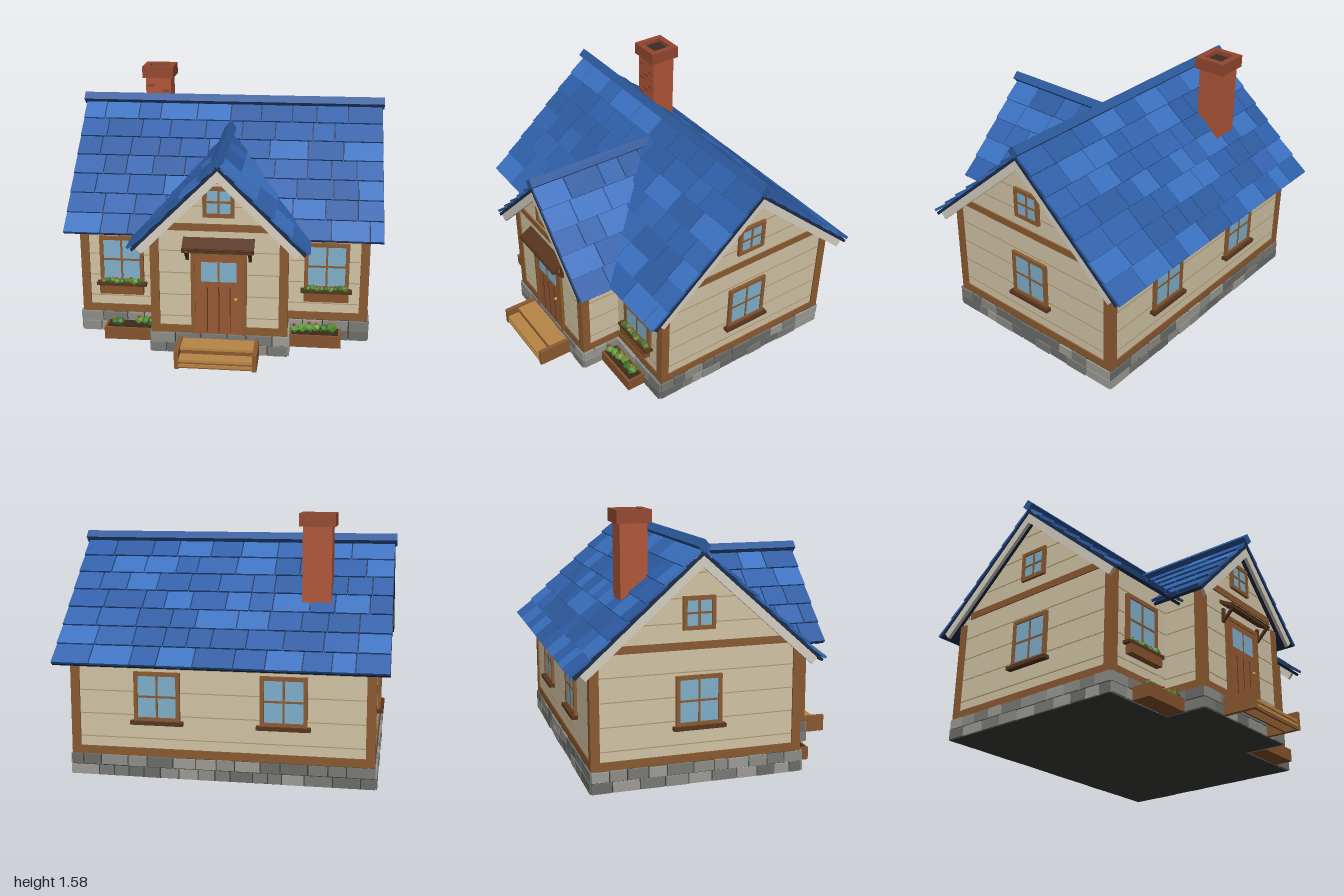
import * as THREE from 'three';

const C = {
  wall: 0xd2c4a5, groove: 0xb09a70, timber: 0x8b5a30, dark: 0x573520, door: 0x965a33, glass: 0x7fb0cc,
  trim: 0xd6cfc2, deck: 0x1a2c4c, ridge: 0x2b5799, brick: 0xb05638, cap: 0x94482f, soot: 0x3a2c26,
  mortar: 0x3c3c3a, tread: 0xb98545, planter: 0x85532d, soil: 0x3b2a1c, brass: 0xd0a030,
};
const BLUES = [0x2c5a9f, 0x3262ad, 0x3a70bf, 0x2e5ea8];
const STONES = [0x7a7a76, 0x8d8d88, 0x9d9c95, 0x6c6c69];
const GREENS = [0x4f8a2e, 0x3f7026, 0x5f9a38];
const BLOOMS = [0xb23a30, 0xc8563a, 0xa83248];

const mats = {};
const mat = (c) => (mats[c] ??= new THREE.MeshStandardMaterial({ color: c, flatShading: true }));
let seed = 7;
const rand = () => (seed = (seed * 16807) % 2147483647) / 2147483647;
const pick = (a) => a[Math.floor(rand() * a.length)];

function add(parent, name, geo, color, x = 0, y = 0, z = 0) {
  const m = new THREE.Mesh(geo, mat(color));
  m.name = name;
  m.position.set(x, y, z);
  parent.add(m);
  return m;
}
const box = (p, name, c, w, h, d, x, y, z) => add(p, name, new THREE.BoxGeometry(w, h, d), c, x, y, z);
function group(parent, name, x = 0, y = 0, z = 0, ry = 0) {
  const g = new THREE.Group();
  g.name = name;
  g.position.set(x, y, z);
  g.rotation.y = ry;
  parent.add(g);
  return g;
}

// Pentagonal walls with siding grooves, sill beam and gable beam; local z runs along the ridge
function gableBody(parent, name, o) {
  const g = group(parent, name, 0, 0, o.z, o.ry);
  const { half, apex, slope, len } = o;
  const eave = apex - half * slope;
  const s = new THREE.Shape([[-half, 0.1], [half, 0.1], [half, eave], [0, apex], [-half, eave]]
    .map(([x, y]) => new THREE.Vector2(x, y)));
  const geo = new THREE.ExtrudeGeometry(s, { depth: len, bevelEnabled: false });
  add(g, 'walls', geo.translate(0, 0, -len / 2), C.wall);
  for (let y = 0.24; y < apex - 0.08; y += 0.143) {
    const hw = Math.min(half + 0.002, (apex - y) / slope - 0.015);
    box(g, 'sidingGroove', C.groove, hw * 2, 0.006, len + 0.005, 0, y, 0);
  }
  box(g, 'sillBeam', C.timber, half * 2 + 0.016, 0.05, len + 0.016, 0, 0.155, 0);
  box(g, 'gableBeam', C.timber, 2 * ((apex - 0.845) / slope - 0.005), 0.045, len + 0.016, 0, 0.823, 0);
  for (const sx of [-1, 1]) for (const sz of [-1, 1])
    box(g, 'cornerPost', C.timber, 0.055, 0.64, 0.055, sx * (half - 0.018), 0.45, sz * (len / 2 - 0.018));
}

// One roof plane: local x along the ridge, local z down the slope, rows of uneven shingles
function roofSlope(parent, name, o) {
  const yaw = group(parent, name, 0, o.y, o.z, o.ry);
  const g = group(yaw, 'shingles');
  g.rotation.x = o.angle;
  for (let j = 0; j < o.rows; j++) {
    const [a, b] = o.range(j);
    const zc = (j + 0.5) * o.row;
    box(g, 'roofDeck', C.deck, b - a, 0.018, o.row, (a + b) / 2, -0.019, zc);
    for (let x = a; x < b - 0.001;) {
      let w = 0.13 + rand() * 0.12;
      if (b - x - w < 0.08) w = b - x;
      const t = box(g, 'shingle', pick(BLUES), w - 0.007, 0.016, o.row + 0.012, x + w / 2, 0.001, zc + 0.004);
      t.rotation.x = -0.07 - rand() * 0.02;
      x += w;
    }
  }
  const run = o.rows * o.row * 0.965;
  for (const x of o.barge) box(g, 'bargeBoard', C.trim, 0.022, 0.05, run, x, -0.052, run / 2);
}

// Framed window with cross bars, facing local +z
function windowUnit(parent, name, w, h, x, y, z, ry, sill) {
  const g = group(parent, name, x, y, z, ry);
  const f = 0.024;
  box(g, 'glass', C.glass, w - f, h - f, 0.016, 0, 0, 0);
  for (const s of [-1, 1]) {
    box(g, 'frameSide', C.timber, f, h, 0.032, s * (w - f) / 2, 0, 0);
    box(g, 'frameRail', C.timber, w, f, 0.032, 0, s * (h - f) / 2, 0);
  }
  box(g, 'mullion', C.timber, 0.012, h - f, 0.024, 0, 0, 0);
  box(g, 'crossBar', C.timber, w - f, 0.012, 0.024, 0, 0, 0);
  if (sill) box(g, 'sill', C.dark, w + 0.04, 0.022, 0.06, 0, -h / 2 - 0.008, 0.006);
}

// Leafy clumps with small blooms between x0 and x1
function plants(parent, x0, x1, y, z, r) {
  const n = Math.max(2, Math.round((x1 - x0) / (r * 1.35)));
  for (let i = 0; i < n; i++) {
    const x = x0 + ((i + 0.5) / n) * (x1 - x0);
    const s = r * (0.85 + rand() * 0.3), dz = (rand() - 0.5) * r;
    add(parent, 'leaves', new THREE.IcosahedronGeometry(s, 0), pick(GREENS), x, y + s * 0.5, z + dz).rotation.y = rand() * 3;
    if (i % 3 !== 1) add(parent, 'bloom', new THREE.IcosahedronGeometry(r * 0.36, 0), pick(BLOOMS), x, y + s * 1.35, z + dz + 0.006);
  }
}

// Two staggered courses of stone blocks along a ground line
function stoneCourse(parent, x0, z0, x1, z1) {
  const dx = x1 - x0, dz = z1 - z0, L = Math.hypot(dx, dz);
  for (let row = 0; row < 2; row++) for (let t = 0; t < L - 0.001;) {
    let w = 0.08 + rand() * 0.09;
    if (L - t - w < 0.06) w = L - t;
    const k = (t + w / 2) / L;
    const m = box(parent, 'stone', pick(STONES), w - 0.007, 0.06, 0.036 + rand() * 0.012, x0 + dx * k, 0.032 + row * 0.066, z0 + dz * k);
    m.rotation.y = -Math.atan2(dz, dx);
    t += w;
  }
}

export function createModel() {
  seed = 7;
  const house = new THREE.Group();
  house.name = 'cottage';
  const H = Math.PI / 2, RZ = -0.19;

  // Foundation
  const base = group(house, 'foundation');
  box(base, 'mainFooting', C.mortar, 1.83, 0.128, 1.29, 0, 0.064, RZ);
  box(base, 'porchFooting', C.mortar, 0.83, 0.128, 0.4, 0, 0.064, 0.52);
  for (const s of [-1, 1]) {
    stoneCourse(base, s * 0.905, 0.46, s * 0.905, -0.835);
    stoneCourse(base, s * 0.41, 0.45, s * 0.92, 0.45);
    stoneCourse(base, s * 0.41, 0.46, s * 0.41, 0.725);
  }
  stoneCourse(base, -0.92, -0.82, 0.92, -0.82);
  stoneCourse(base, -0.425, 0.71, 0.425, 0.71);

  // Walls
  gableBody(house, 'mainBody', { half: 0.635, apex: 1.345, slope: 0.89, len: 1.81, z: RZ, ry: H });
  gableBody(house, 'frontWing', { half: 0.41, apex: 1.195, slope: 1, len: 0.5, z: 0.46, ry: 0 });

  // Roofs; the wing rows stop where they run under the main roof
  const roof = group(house, 'roof');
  for (const ry of [0, Math.PI])
    roofSlope(roof, 'mainRoofSlope', { y: 1.385, z: RZ, ry, angle: Math.atan(0.89), rows: 7, row: 0.1445, range: () => [-0.99, 0.99], barge: [-0.972, 0.972] });
  for (const s of [-1, 1])
    roofSlope(roof, 'wingRoofSlope', {
      y: 1.235, z: 0, ry: s * H, angle: Math.PI / 4, rows: 5, row: 0.1505, barge: [-s * 0.772],
      range: (j) => {
        const z0 = RZ + (0.15 + j * 0.1505 * Math.SQRT1_2) / 0.89 - 0.03;
        return s > 0 ? [-0.79, -z0] : [z0, 0.79];
      },
    });
  box(roof, 'mainRidgeCap', C.ridge, 2, 0.056, 0.056, 0, 1.4, RZ).rotation.x = Math.PI / 4;
  box(roof, 'wingRidgeCap', C.ridge, 0.056, 0.056, 0.88, 0, 1.252, 0.36).rotation.z = Math.PI / 4;

  // Chimney
  const ch = group(house, 'chimney', -0.54, 0, -0.495);
  box(ch, 'shaft', C.brick, 0.175, 0.6, 0.165, 0, 1.21, 0);
  box(ch, 'flue', C.soot, 0.14, 0.05, 0.14, 0, 1.53, 0);
  for (const s of [-1, 1]) {
    box(ch, 'capSide', C.cap, 0.04, 0.078, 0.21, s * 0.0875, 1.541, 0);
    box(ch, 'capEnd', C.cap, 0.135, 0.078, 0.04, 0, 1.541, s * 0.085);
  }
  for (let i = 0; i < 7; i++)
    box(ch, 'raisedBrick', C.cap, 0.05, 0.022, 0.008, (i % 3 - 1) * 0.052, 1.23 + i * 0.036, 0.084);

  // Windows
  for (const s of [-1, 1]) {
    windowUnit(house, 'frontWindow', 0.28, 0.31, s * 0.65, 0.495, 0.45, 0, false);
    windowUnit(house, 'sideWindow', 0.28, 0.3, s * 0.908, 0.5, RZ, s * H, true);
    windowUnit(house, 'sideGableWindow', 0.195, 0.195, s * 0.908, 1.013, RZ, s * H, false);
    windowUnit(house, 'backWindow', 0.28, 0.3, s * 0.38, 0.5, -0.828, Math.PI, true);

    // Window boxes and ground planters
    const wb = group(house, 'windowBox', s * 0.65, 0, 0.475);
    box(wb, 'trough', C.planter, 0.28, 0.06, 0.042, 0, 0.3, 0);
    box(wb, 'ledge', C.dark, 0.32, 0.018, 0.05, 0, 0.336, -0.002);
    plants(wb, -0.13, 0.13, 0.343, 0, 0.022);
    const pl = group(house, 'groundPlanter', s * 0.588, 0, 0.53);
    box(pl, 'trough', C.planter, 0.322, 0.08, 0.12, 0, 0.04, 0);
    box(pl, 'soil', C.soil, 0.29, 0.01, 0.09, 0, 0.08, 0);
    if (s > 0) plants(pl, -0.155, 0.125, 0.09, 0, 0.036);
    else {
      plants(pl, -0.12, -0.05, 0.085, 0, 0.028);
      plants(pl, 0.03, 0.16, 0.09, 0, 0.034);
    }
  }
  windowUnit(house, 'wingGableWindow', 0.19, 0.19, 0, 0.985, 0.712, 0, false);

  // Door
  const door = group(house, 'door', 0, 0, 0.712);
  box(door, 'panel', C.door, 0.29, 0.52, 0.02, 0, 0.392, 0.002);
  for (const s of [-1, 1]) box(door, 'jamb', C.timber, 0.025, 0.54, 0.036, s * 0.157, 0.4, 0);
  box(door, 'lintel', C.timber, 0.34, 0.025, 0.036, 0, 0.66, 0);
  box(door, 'pane', C.glass, 0.215, 0.125, 0.008, 0, 0.543, 0.012);
  box(door, 'paneBar', C.door, 0.01, 0.125, 0.014, 0, 0.543, 0.012);
  for (const x of [-0.07, 0, 0.07]) box(door, 'boardGroove', C.dark, 0.006, 0.3, 0.004, x, 0.295, 0.011);
  add(door, 'knob', new THREE.SphereGeometry(0.011, 8, 6), C.brass, 0.103, 0.37, 0.02);

  // Awning over the door
  const aw = group(house, 'awning', 0, 0, 0.71);
  box(aw, 'awningBoard', C.dark, 0.43, 0.022, 0.1, 0, 0.725, 0.04).rotation.x = 0.52;
  box(aw, 'awningFascia', C.dark, 0.43, 0.028, 0.012, 0, 0.702, 0.08);
  for (const s of [-1, 1]) {
    box(aw, 'braceUpright', C.dark, 0.02, 0.09, 0.016, s * 0.19, 0.66, 0.008);
    box(aw, 'brace', C.dark, 0.018, 0.11, 0.014, s * 0.19, 0.66, 0.045).rotation.x = 0.78;
  }

  // Front steps
  const st = group(house, 'frontSteps');
  for (const s of [-1, 1]) box(st, 'stringer', C.timber, 0.026, 0.11, 0.225, s * 0.235, 0.055, 0.832);
  for (const [y, z, d] of [[0.1, 0.79, 0.14], [0.06, 0.9, 0.082]]) {
    box(st, 'tread', C.tread, 0.446, 0.016, d, 0, y - 0.008, z);
    box(st, 'riser', C.timber, 0.446, y - 0.02, 0.012, 0, (y - 0.016) / 2, z + d / 2 - 0.012);
  }
  box(st, 'lowerBoard', C.tread, 0.446, 0.018, 0.01, 0, 0.022, 0.938);
  return house;
}
